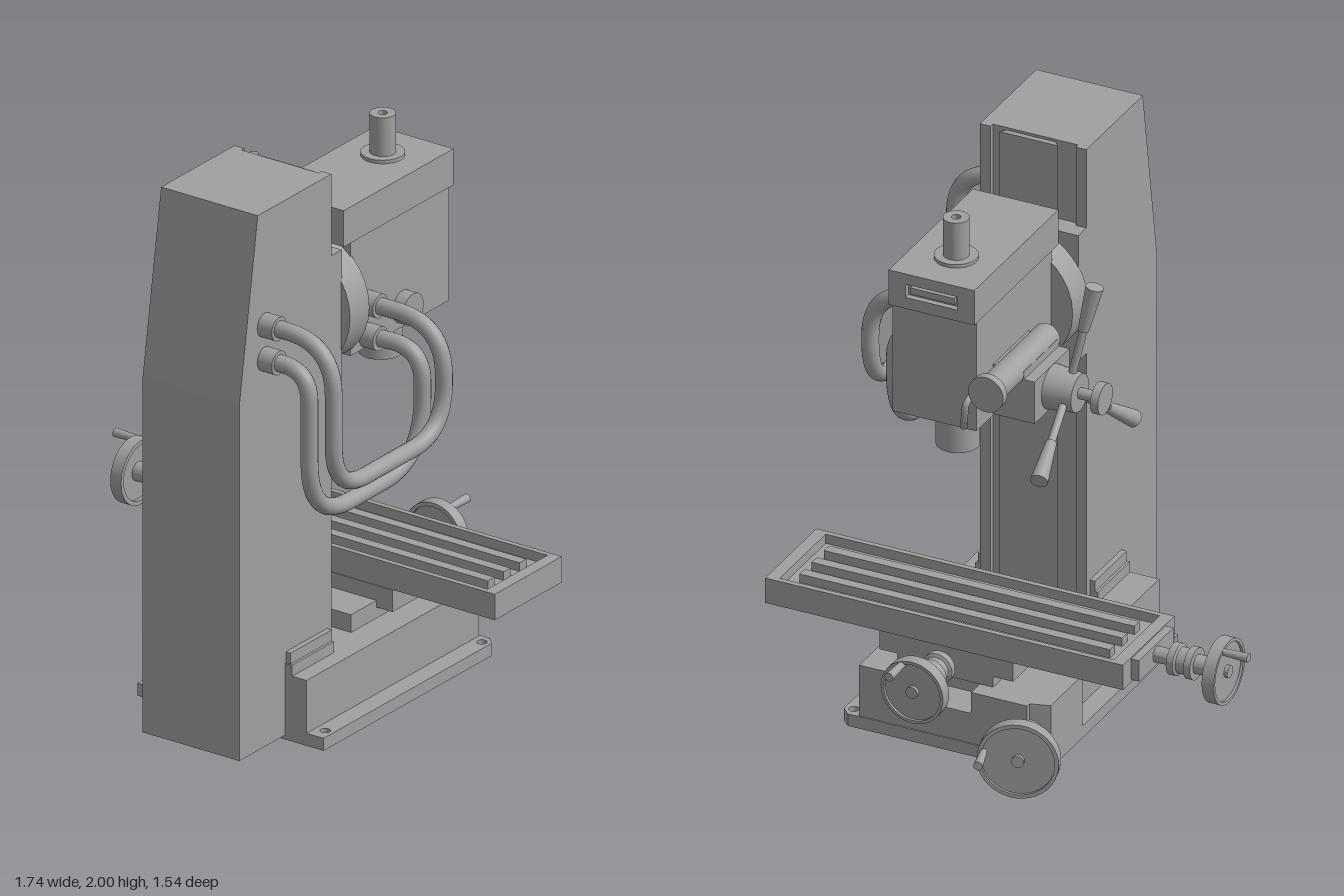
import * as THREE from 'three';
import { toCreasedNormals } from 'three/addons/utils/BufferGeometryUtils.js';

export function createModel() {
  const model = new THREE.Group();
  const grey = new THREE.MeshStandardMaterial({ color: 0xa0a0a0 });
  grey.name = 'machine grey';

  const add = (name, geo, parent = model) => {
    const m = new THREE.Mesh(geo, grey);
    m.name = name;
    parent.add(m);
    return m;
  };
  // Box given by its extents
  const box = (name, x0, x1, y0, y1, z0, z1) =>
    add(name, new THREE.BoxGeometry(x1 - x0, y1 - y0, z1 - z0)
      .translate((x0 + x1) / 2, (y0 + y1) / 2, (z0 + z1) / 2));
  // Outline in plan [x, z], raised from y0 to y1, with optional round holes
  const plan = (name, pts, y0, y1, holes = [], r = 0.018) => {
    const s = new THREE.Shape(pts.map(([x, z]) => new THREE.Vector2(x, -z)));
    for (const [x, z] of holes) s.holes.push(new THREE.Path().absarc(x, -z, r, 0, Math.PI * 2, true));
    const g = new THREE.ExtrudeGeometry(s, { depth: y1 - y0, bevelEnabled: false, curveSegments: 10 });
    return add(name, g.rotateX(-Math.PI / 2).translate(0, y0, 0));
  };
  // Cylinder or cone between two points
  const rod = (name, a, b, r0, r1 = r0, parent = model) => {
    const A = new THREE.Vector3(...a), B = new THREE.Vector3(...b);
    const m = add(name, new THREE.CylinderGeometry(r1, r0, A.distanceTo(B), 32), parent);
    m.position.copy(A).lerp(B, 0.5);
    m.quaternion.setFromUnitVectors(new THREE.Vector3(0, 1, 0), B.sub(A).normalize());
    return m;
  };
  const lathe = (pts) => toCreasedNormals(
    new THREE.LatheGeometry(pts.map(p => new THREE.Vector2(...p)), 40), 0.6);

  // Column with sloping rear top, and its dovetail way
  const side = new THREE.Shape([[-0.77, 0.035], [-0.262, 0.035], [-0.262, 2], [-0.665, 2], [-0.77, 1.34]]
    .map(p => new THREE.Vector2(...p)));
  add('column', new THREE.ExtrudeGeometry(side, { depth: 0.4, bevelEnabled: false }).rotateY(Math.PI / 2));
  plan('columnWay', [[0.125, 0.265], [0.105, 0.242], [0.325, 0.242], [0.305, 0.265]], 0.26, 1.99);
  for (const [x0, x1] of [[0, 0.04], [0.36, 0.4]]) box('columnEdge', x0, x1, 0.26, 2, 0.245, 0.265);
  box('columnFoot', -0.03, 0.43, 0.26, 0.30, 0.27, 0.51);
  box('columnFootCap', -0.02, 0.42, 0.30, 0.34, 0.27, 0.505);

  // Base: bolted flange, body, side rails and angled drive boss
  plan('baseFlange', [[-0.21, 0.51], [0.56, 0.51], [0.56, -0.45], [0.53, -0.48], [-0.15, -0.48], [-0.21, -0.46]],
    0.02, 0.066, [[-0.18, 0.455], [0.527, 0.455], [0.527, -0.44]]);
  box('baseBody', -0.14, 0.49, 0.066, 0.18, -0.475, 0.51);
  box('baseRailRight', -0.14, 0.07, 0.18, 0.26, -0.475, 0.51);
  box('baseRailLeft', 0.28, 0.49, 0.18, 0.26, -0.475, 0.51);
  box('baseCentre', 0.07, 0.28, 0.18, 0.26, -0.34, 0.51);
  plan('driveBoss', [[-0.21, -0.2], [-0.14, -0.2], [-0.05, -0.47], [-0.08, -0.475], [-0.21, -0.437]], 0.066, 0.26);

  // Saddle
  box('saddleSlide', 0.02, 0.38, 0.26, 0.325, -0.41, 0.105);
  box('saddle', -0.055, 0.447, 0.30, 0.38, -0.41, -0.04);

  // Table: tray, rims and three slot bars
  box('tableBed', -0.475, 0.868, 0.38, 0.44, -0.425, -0.043);
  box('tableEndRim', -0.475, -0.43, 0.44, 0.475, -0.425, -0.043);
  box('tableEndRim', 0.823, 0.868, 0.44, 0.475, -0.425, -0.043);
  box('tableSideRim', -0.43, 0.823, 0.44, 0.475, -0.425, -0.405);
  box('tableSideRim', -0.43, 0.823, 0.44, 0.475, -0.063, -0.043);
  for (const z of [-0.325, -0.234, -0.143]) box('tableBar', -0.385, 0.78, 0.44, 0.472, z - 0.019, z + 0.019);
  box('tableEndBearing', -0.505, -0.475, 0.39, 0.47, -0.365, -0.11);

  // Handwheels: shaft, graduated collar, dished wheel and crank handle
  const handwheel = (name, pos, turn, r, len, hx, hy) => {
    const g = new THREE.Group();
    g.name = name;
    add('wheel', lathe([[0, -len], [0.028, -len], [0.028, -0.165], [0.057, -0.165], [0.057, -0.14], [0.046, -0.135],
      [0.046, -0.105], [0.057, -0.1], [0.057, -0.075], [0.034, -0.075], [0.034, 0.015], [0.87 * r, 0.015],
      [0.87 * r, 0], [r, 0], [r, 0.045], [0.9 * r, 0.045], [0.9 * r, 0.035], [0.022, 0.035], [0.022, 0.048],
      [0, 0.048]]).rotateX(Math.PI / 2), g);
    rod('crankHandle', [hx, hy, 0.03], [hx, hy, 0.138], 0.012, 0.016, g);
    g.position.set(...pos);
    g.rotation.y = turn;
    model.add(g);
  };
  handwheel('tableHandwheel', [-0.733, 0.432, -0.235], -Math.PI / 2, 0.117, 0.24, -0.04, 0.095);
  handwheel('crossHandwheel', [0.203, 0.313, -0.607], Math.PI, 0.117, 0.2, -0.04, 0.095);
  handwheel('angledHandwheel', [-0.178, 0.143, -0.602], Math.PI + 0.285, 0.14, 0.19, -0.118, 0.022);

  // Head carriage and swivel disc
  box('headCarriage', 0, 0.4, 1.22, 1.7, 0.185, 0.262);
  rod('swivelDisc', [0.203, 1.46, 0.08], [0.203, 1.46, 0.19], 0.235);

  // Head body and cover with a slotted front
  box('headBody', 0.05, 0.365, 1.265, 1.685, -0.475, 0.087);
  box('headNeck', 0.07, 0.345, 1.3, 1.62, 0.08, 0.125);
  box('headCover', 0.047, 0.368, 1.682, 1.815, -0.475, 0.13);
  const face = new THREE.Shape([[0.047, 1.682], [0.368, 1.682], [0.368, 1.815], [0.047, 1.815]]
    .map(p => new THREE.Vector2(...p)));
  face.holes.push(new THREE.Path([[0.11, 1.725], [0.11, 1.775], [0.305, 1.775], [0.305, 1.725]]
    .map(p => new THREE.Vector2(...p))));
  add('coverFace', new THREE.ExtrudeGeometry(face, { depth: 0.022, bevelEnabled: false }).translate(0, 0, -0.497));
  box('coverSlotInsert', 0.125, 0.29, 1.738, 1.762, -0.49, -0.474);
  rod('sideBoss', [0.36, 1.34, -0.21], [0.41, 1.34, -0.21], 0.058);

  // Spindle quill below and drawbar above, both with bored ends
  add('quill', lathe([[0, 1.13], [0.025, 1.13], [0.025, 1.1], [0.075, 1.1], [0.075, 1.27]]))
    .position.set(0.205, 0, -0.305);
  add('drawbar', lathe([[0.075, 1.81], [0.075, 1.828], [0.045, 1.828], [0.045, 1.97], [0.016, 1.97],
    [0.016, 1.93], [0, 1.93]])).position.set(0.205, 0, -0.318);

  // Feed gearbox with fine-feed barrel
  box('feedGearbox', -0.105, 0.055, 1.27, 1.43, -0.35, -0.09);
  box('barrelSaddle', -0.065, 0.055, 1.42, 1.46, -0.35, -0.09);
  rod('fineFeedBarrel', [-0.015, 1.45, -0.51], [-0.015, 1.45, -0.08], 0.05);
  rod('fineFeedKnob', [-0.015, 1.45, -0.535], [-0.015, 1.45, -0.505], 0.066);
  add('lockLever', new THREE.TubeGeometry(new THREE.CatmullRomCurve3([[0.06, 1.41, -0.47], [0.065, 1.39, -0.52],
    [0.075, 1.33, -0.515], [0.09, 1.28, -0.49]].map(p => new THREE.Vector3(...p))), 16, 0.012, 10));

  // Feed hub, three levers and clutch knob
  rod('feedHub', [-0.1, 1.35, -0.22], [-0.21, 1.35, -0.22], 0.08, 0.068);
  rod('clutchStem', [-0.2, 1.35, -0.22], [-0.28, 1.35, -0.22], 0.02);
  rod('clutchKnob', [-0.275, 1.35, -0.22], [-0.305, 1.35, -0.22], 0.056);
  const start = new THREE.Vector3(-0.165, 1.35, -0.22);
  for (const end of [[-0.245, 1.745, -0.18], [-0.25, 1.105, 0.1], [-0.24, 1.2, -0.585]]) {
    const e = new THREE.Vector3(...end);
    const grip = e.clone().lerp(start, 0.17 / e.distanceTo(start));
    rod('leverRod', start.toArray(), grip.toArray(), 0.014);
    rod('leverGrip', grip.toArray(), end, 0.019, 0.031);
  }

  // Hoses: straight runs joined by rounded corners, with a fitting at each end
  const hose = (pts, radius) => {
    const P = pts.map(p => new THREE.Vector3(...p));
    const path = new THREE.CurvePath();
    let last = P[0];
    for (let i = 1; i < P.length - 1; i++) {
      const toward = (q) => P[i].clone().lerp(q, radius[i - 1] / P[i].distanceTo(q));
      const a = toward(P[i - 1]), b = toward(P[i + 1]);
      path.add(new THREE.LineCurve3(last, a));
      path.add(new THREE.QuadraticBezierCurve3(a, P[i], b));
      last = b;
    }
    path.add(new THREE.LineCurve3(last, P[P.length - 1]));
    add('hose', new THREE.TubeGeometry(path, 120, 0.03, 16));
    for (const p of [pts[0], pts[pts.length - 1]]) rod('hoseFitting', p, [p[0] + 0.06, p[1], p[2]], 0.043);
  };
  hose([[0.4, 1.585, 0.625], [0.685, 1.585, 0.625], [0.685, 1.04, 0.625], [0.685, 1.04, -0.005],
    [0.685, 1.43, -0.005], [0.362, 1.43, -0.005]], [0.19, 0.18, 0.18, 0.19]);
  hose([[0.4, 1.46, 0.625], [0.585, 1.46, 0.625], [0.585, 0.905, 0.625], [0.585, 0.905, -0.02],
    [0.585, 1.31, -0.02], [0.362, 1.31, -0.005]], [0.11, 0.23, 0.23, 0.12]);

  return model;
}
